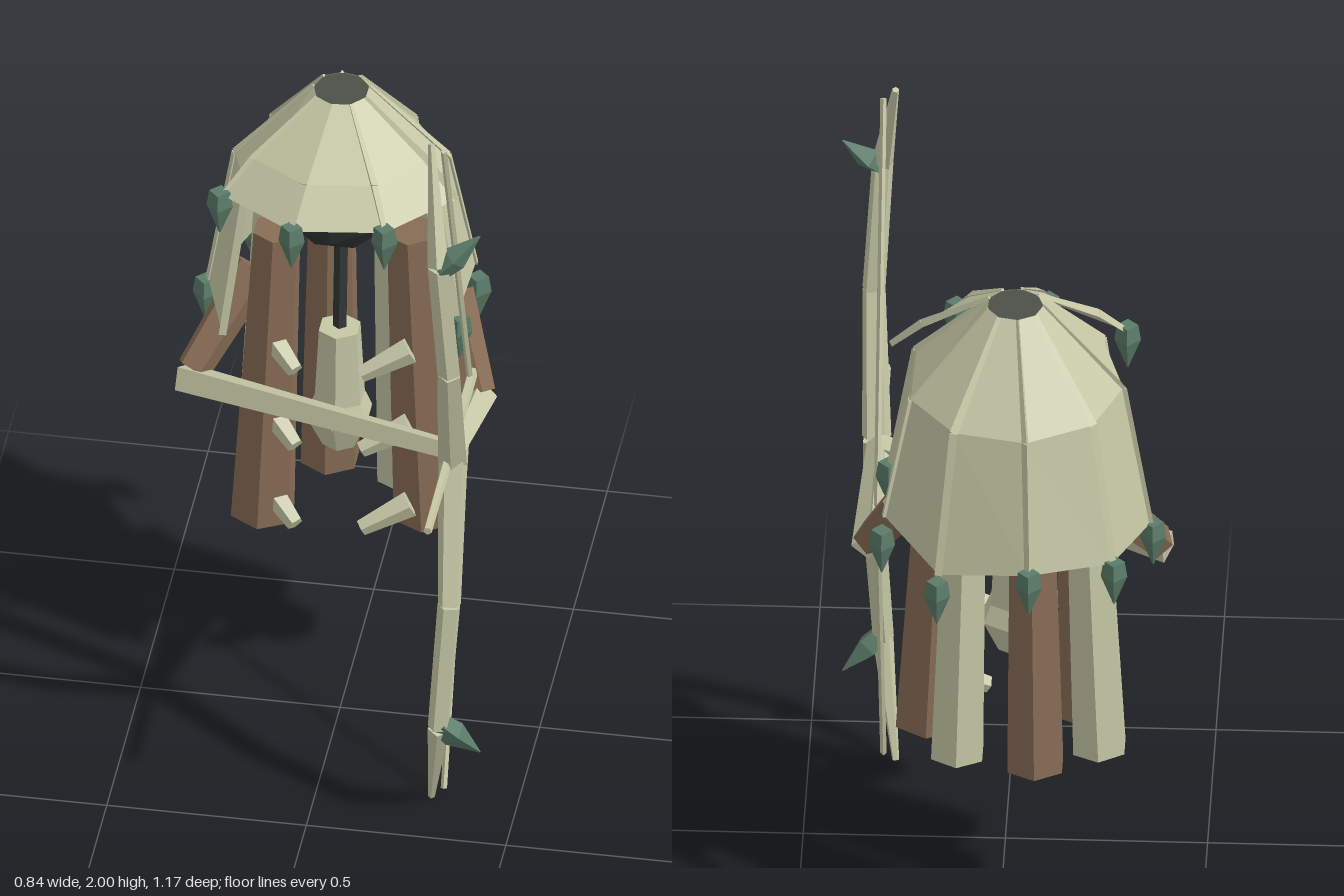
import * as THREE from 'three';

const mat = (name, color, extra = {}) => {
  const m = new THREE.MeshStandardMaterial({ color, flatShading: true, ...extra });
  m.name = name;
  return m;
};

export function createModel() {
  const model = new THREE.Group();
  const pale = mat('pale wood', 0xc6c8a6, { side: THREE.DoubleSide });
  const brown = mat('brown bark', 0x886d56);
  const green = mat('leaf green', 0x5a7b69);
  const dark = mat('dark head', 0x313635);
  const shade = mat('hood opening', 0x4b5149);
  const V = (x, y, z) => new THREE.Vector3(x, y, z);

  const add = (name, geo, material) => {
    const m = new THREE.Mesh(geo, material);
    m.name = name;
    model.add(m);
    return m;
  };
  // tapered rod from a to b
  const beam = (name, a, b, ra, rb, sides, material) => {
    const d = b.clone().sub(a);
    const m = add(name, new THREE.CylinderGeometry(rb, ra, d.length(), sides), material);
    m.position.copy(a).add(b).multiplyScalar(0.5);
    m.quaternion.setFromUnitVectors(V(0, 1, 0), d.normalize());
  };
  // pointed bud from base to tip
  const bud = (name, base, tip, r) => {
    const mid = base.clone().lerp(tip, 0.35);
    beam(name, base, mid, r * 0.8, r, 4, green);
    beam(name + 'Tip', mid, tip, r, 0.002, 4, green);
  };
  // panel strip between two rows of points
  const strip = (name, top, bottom) => {
    const pos = [], index = [];
    top.forEach((p, i) => {
      pos.push(...p.toArray(), ...bottom[i].toArray());
      if (i) index.push(2 * i - 2, 2 * i - 1, 2 * i, 2 * i, 2 * i - 1, 2 * i + 1);
    });
    const g = new THREE.BufferGeometry();
    g.setAttribute('position', new THREE.Float32BufferAttribute(pos, 3));
    g.setIndex(index);
    g.computeVertexNormals();
    add(name, g, pale);
  };

  // nine-sided hood: crown, long back skirt, short flaring front visor
  const polar = (deg, r, y) => {
    const a = deg * Math.PI / 180;
    return V(-0.033 + r * Math.cos(a), y, -0.215 + r * Math.sin(a));
  };
  const angles = Array.from({ length: 10 }, (_, i) => 22 + 40 * i);
  const frontAngles = angles.slice(0, 4), backAngles = angles.slice(3);
  const ring = (list, r, y) => list.map(a => polar(a, r, y));
  const hemY = [1.1, 1.1, 1.12, 1.15, 1.115, 1.165, 1.165];
  const budY = [1.54, 1.105, 1.13, 1.165, 1.1, 1.125, 1.17];
  const backTop = ring(backAngles, 0.07, 1.735);
  const shoulder = backAngles.map((a, i) => polar(a, 0.268, i % 6 ? 1.5 : 1.525));
  const hem = backAngles.map((a, i) => polar(a, 0.335, hemY[i]));
  strip('hoodCrown', backTop, shoulder);
  strip('hoodSkirt', shoulder, hem);
  const frontTop = ring(frontAngles, 0.07, 1.735);
  const brow = ring(frontAngles, 0.25, 1.61), rim = ring(frontAngles, 0.335, 1.525);
  strip('visorCrown', frontTop, brow);
  strip('visor', brow, rim);
  const opening = add('hoodOpening', new THREE.CircleGeometry(0.07, 9), shade);
  opening.rotation.set(-Math.PI / 2, 0, -22 * Math.PI / 180);
  opening.position.set(-0.033, 1.733, -0.215);

  // hood ribs with hanging buds
  backAngles.forEach((a, i) => {
    beam('crownRib', backTop[i], shoulder[i], 0.006, 0.012, 3, pale);
    beam('skirtRib', shoulder[i], hem[i], 0.012, 0.011, 3, pale);
    bud('skirtBud', polar(a, 0.342, budY[i]), polar(a, 0.342, budY[i] - 0.125), 0.033);
  });
  frontAngles.forEach((a, i) => {
    beam('visorRib', frontTop[i], brow[i], 0.006, 0.012, 3, pale);
    beam('visorEdgeRib', brow[i], rim[i], 0.012, 0.009, 3, pale);
    if (i === 1 || i === 2) bud('visorBud', polar(a, 0.335, 1.54), polar(a, 0.335, 1.415), 0.033);
  });

  // head and brow knot
  add('head', new THREE.IcosahedronGeometry(0.16, 1), dark).position.set(-0.035, 1.45, -0.2);
  const knot = add('browKnot', new THREE.IcosahedronGeometry(0.035, 0), pale);
  knot.position.set(-0.03, 1.5, -0.025);
  knot.scale.set(1.2, 0.8, 1);

  // hexagonal body columns around the sides and back, leaning inward
  const columns = [
    [0.185, -0.195, 0.088, brown, 1.34], [0.105, -0.34, 0.073, pale, 1.45],
    [-0.09, -0.385, 0.078, brown, 1.45], [-0.245, -0.3, 0.073, pale, 1.45],
    [-0.217, -0.135, 0.084, brown, 1.34],
  ];
  for (const [x, z, r, m, top] of columns)
    beam('bodyColumn', V(x, 0.48, z), V(-0.025 + (x + 0.025) * 0.82, top, -0.18 + (z + 0.18) * 0.82), r, r * 0.74, 6, m);

  // inner trunk, neck and bulb
  beam('neck', V(-0.03, 0.98, -0.17), V(-0.03, 1.3, -0.2), 0.018, 0.018, 5, dark);
  beam('trunk', V(-0.03, 0.8, -0.17), V(-0.03, 1.04, -0.17), 0.068, 0.055, 6, pale);
  beam('trunkBulb', V(-0.03, 0.69, -0.17), V(-0.03, 0.78, -0.17), 0.045, 0.086, 6, pale);
  beam('trunkBulbTop', V(-0.03, 0.78, -0.17), V(-0.03, 0.84, -0.17), 0.086, 0.062, 6, pale);
  add('trunkKnot', new THREE.IcosahedronGeometry(0.038, 0), pale).position.set(-0.033, 0.81, -0.1);

  // short branches curling from the front columns
  for (const y of [0.53, 0.77, 1.0]) {
    beam('leftBranch', V(0.04, y - 0.025, -0.07), V(0.155, y + 0.035, -0.11), 0.022, 0.036, 5, pale);
    beam('rightBranch', V(-0.12, y - 0.02, -0.05), V(-0.175, y + 0.02, -0.1), 0.022, 0.03, 5, pale);
  }

  // arms
  beam('rightUpperArm', V(-0.25, 1.16, -0.22), V(-0.38, 0.94, -0.07), 0.056, 0.045, 5, brown);
  beam('rightForearm', V(-0.405, 0.918, -0.06), V(0.32, 1.0, 0.24), 0.042, 0.028, 4, pale);
  beam('leftUpperArm', V(0.24, 1.14, -0.22), V(0.33, 0.94, -0.085), 0.058, 0.045, 5, brown);
  beam('leftForearm', V(0.335, 0.925, -0.1), V(0.325, 1.0, 0.25), 0.042, 0.028, 4, pale);

  // mirrored bow limbs, buds and string
  const limb = [[0.33, 0, 0.275, 0.038], [0.342, 0.355, 0.402, 0.03], [0.322, 0.705, 0.44, 0.028], [0.285, 0.998, 0.33, 0.009]];
  for (const s of [1, -1]) {
    const p = limb.map(([x, y, z]) => V(x, 1 + s * y, z));
    for (let i = 0; i < 3; i++) beam('bowLimb', p[i], p[i + 1], limb[i][3], limb[i + 1][3], 5, pale);
    bud('bowBud', V(0.325, 1 + s * 0.695, 0.44), V(0.42, 1 + s * 0.79, 0.41), 0.034);
    beam('bowString', V(0.315, 1 + s * 0.975, 0.325), V(0.315, 1, -0.06), 0.008, 0.008, 4, pale);
  }

  // arrow
  beam('arrow', V(0.318, 1.005, -0.11), V(0.318, 1.0, 0.585), 0.014, 0.011, 5, pale);

  return model;
}
